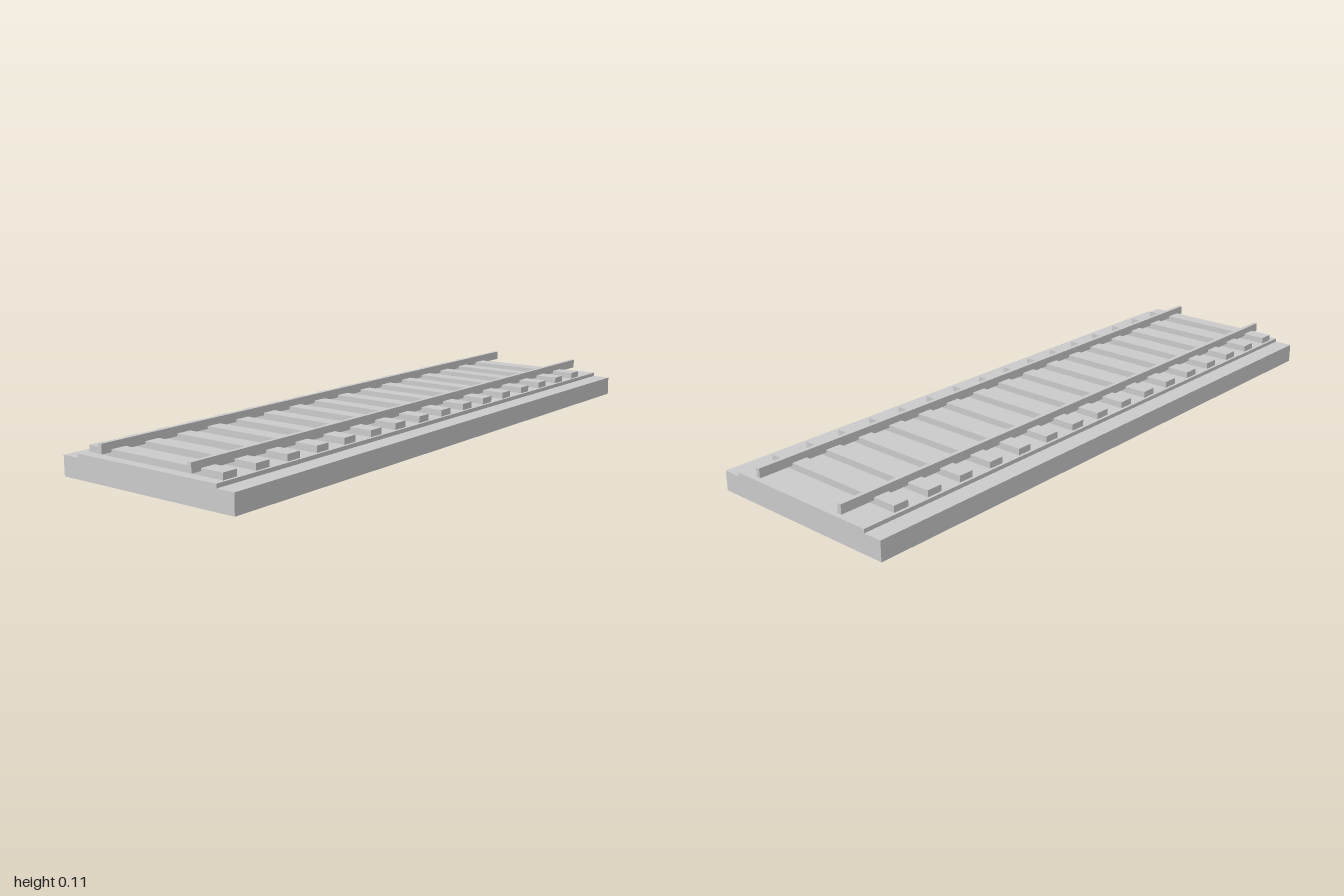
import * as THREE from 'three';

export function createModel() {
  const model = new THREE.Group();
  model.name = 'railwayTrack';
  const grey = new THREE.MeshStandardMaterial({ color: 0xcccccc });
  grey.name = 'light grey';

  // box spanning y0..y1, centred on x and z
  function addBox(name, width, y0, y1, depth, x = 0, z = 0) {
    const mesh = new THREE.Mesh(new THREE.BoxGeometry(width, y1 - y0, depth), grey);
    mesh.name = name;
    mesh.position.set(x, (y0 + y1) / 2, z);
    model.add(mesh);
  }

  // stepped bed: wide slab with a raised strip, one extruded cross-section
  const half = [[0.32, 0], [0.32, 0.061], [0.26, 0.061], [0.26, 0.073]];
  const mirrored = half.map(([z, y]) => [-z, y]).reverse();
  const section = new THREE.Shape([...half, ...mirrored].map(([z, y]) => new THREE.Vector2(z, y)));
  const bedGeometry = new THREE.ExtrudeGeometry(section, { depth: 2, bevelEnabled: false });
  bedGeometry.translate(0, 0, -1).rotateY(Math.PI / 2);
  const bed = new THREE.Mesh(bedGeometry, grey);
  bed.name = 'trackBed';
  model.add(bed);

  // evenly spaced sleepers, starting near the -x end
  for (let i = 0; i < 16; i++) {
    addBox('sleeper', 0.05, 0.073, 0.093, 0.502, -0.942 + i * 0.1204);
  }

  // two rails, notched into the sleepers
  for (const side of [-1, 1]) {
    addBox(side > 0 ? 'frontRail' : 'backRail', 2, 0.085, 0.114, 0.0135, 0, side * 0.168);
  }
  return model;
}
